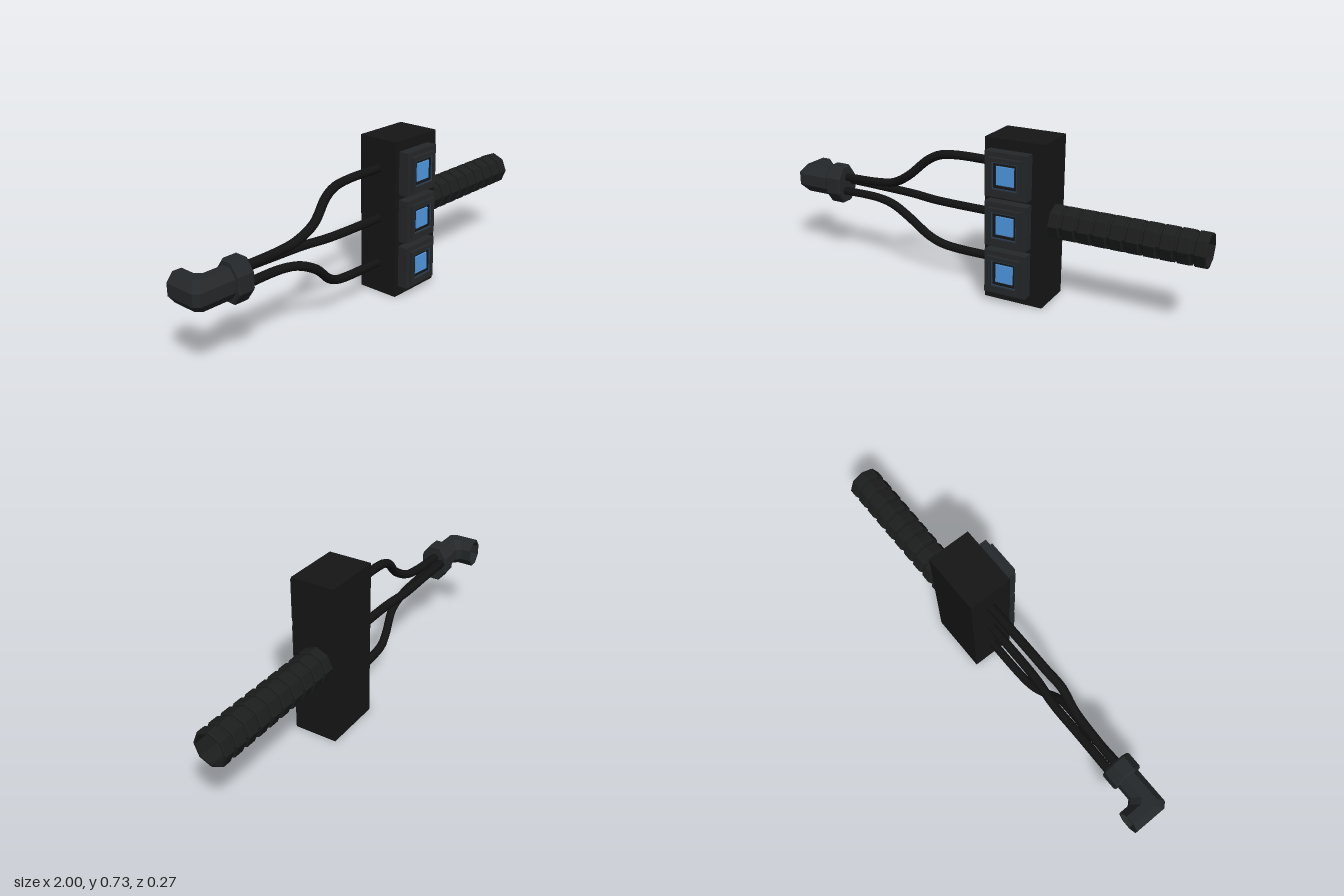
import * as THREE from 'three';

const mat = (color, side = THREE.FrontSide, flatShading = true) =>
  new THREE.MeshStandardMaterial({ color, side, flatShading });

const MID_Y = 0.363;

function add(parent, name, geometry, material, x = 0, y = 0, z = 0) {
  const mesh = new THREE.Mesh(geometry, material);
  mesh.name = name;
  mesh.position.set(x, y, z);
  parent.add(mesh);
  return mesh;
}

// Square frame standing from z = 0 to z = depth
function frameGeometry(outer, inner, depth) {
  const square = (Type, s) => new Type([
    new THREE.Vector2(-s / 2, -s / 2), new THREE.Vector2(s / 2, -s / 2),
    new THREE.Vector2(s / 2, s / 2), new THREE.Vector2(-s / 2, s / 2)]);
  const shape = square(THREE.Shape, outer);
  shape.holes.push(square(THREE.Path, inner));
  return new THREE.ExtrudeGeometry(shape, { depth, bevelEnabled: false });
}

// Skin over eight-sided rings; each ring is [x, z, lateralX, lateralZ, halfHeight]
function loftGeometry(rings, sides = 8) {
  const pos = [], index = [];
  rings.forEach(([x, z, lx, lz, h], r) => {
    for (let i = 0; i < sides; i++) {
      const a = ((i + 0.5) / sides) * Math.PI * 2;
      const k = 1 / Math.cos(Math.PI / sides);
      pos.push(x + lx * Math.cos(a) * k, MID_Y + h * Math.sin(a) * k, z + lz * Math.cos(a) * k);
      if (r === rings.length - 1) continue;
      const p = r * sides + i, q = r * sides + (i + 1) % sides;
      index.push(p, p + sides, q, q, p + sides, q + sides);
    }
  });
  const g = new THREE.BufferGeometry();
  g.setAttribute('position', new THREE.Float32BufferAttribute(pos, 3));
  g.setIndex(index);
  g.computeVertexNormals();
  return g;
}

export function createModel() {
  const model = new THREE.Group();
  model.name = 'switchBoxWithHoses';

  const black = mat(0x161616);
  const charcoal = mat(0x25282a);
  const charcoalOpen = mat(0x25282a, THREE.DoubleSide);
  const blue = mat(0x4f9ae6);
  const dimBlue = mat(0x2b4054);
  const rubber = mat(0x1c1d1d, THREE.DoubleSide);
  const cableMat = mat(0x131313, THREE.FrontSide, false);

  // Main housing
  add(model, 'housing', new THREE.BoxGeometry(0.275, 0.725, 0.2), black, 0.1985, 0.3625, -0.03);

  // Three stacked light buttons on the front
  for (let i = 0; i < 3; i++) {
    const button = new THREE.Group();
    button.name = 'button' + (i + 1);
    button.position.set(0.181, 0.145 + i * 0.2185, 0.07);
    add(button, 'buttonBase', new THREE.BoxGeometry(0.195, 0.195, 0.047), charcoal, 0, 0, 0.0235);
    add(button, 'buttonRim', frameGeometry(0.152, 0.118, 0.016), charcoal, 0, 0, 0.047);
    add(button, 'buttonInset', frameGeometry(0.118, 0.108, 0.011), dimBlue, 0, 0, 0.047);
    add(button, 'buttonBezel', frameGeometry(0.108, 0.09, 0.007), black, 0, 0, 0.047);
    add(button, 'buttonLens', new THREE.BoxGeometry(0.08, 0.08, 0.008), blue, 0, 0, 0.05);
    model.add(button);
  }

  // Ribbed eight-sided hose, open at its far end
  const profile = [];
  const pitch = 0.0695, rib = 0.055;
  for (let i = 0; i < 10; i++) {
    const x0 = 0.326 + i * pitch;
    const x1 = Math.min(x0 + rib, 1);
    profile.push([0.067, x0], [0.073, x0], [0.078, x0 + 0.005], [0.078, x1 - 0.005], [0.073, x1], [0.067, x1]);
  }
  profile.push([0.067, 1], [0.064, 0.33]);
  const hose = add(model, 'ribbedHose',
    new THREE.LatheGeometry(profile.map(([r, x]) => new THREE.Vector2(r, x)), 8),
    rubber, 0, MID_Y, -0.044);
  hose.rotation.z = -Math.PI / 2;

  // Three cables fanning out from the collar to the housing
  const cables = {
    upperCable: [[-0.76, 0.395, -0.02], [-0.55, 0.402, -0.015], [-0.46, 0.417, -0.01], [-0.37, 0.468, 0],
      [-0.28, 0.548, -0.02], [-0.22, 0.578, -0.027], [-0.14, 0.589, -0.03], [0.08, 0.589, -0.032]],
    middleCable: [[-0.76, 0.372, -0.055], [-0.55, 0.368, -0.052], [-0.38, 0.363, -0.05],
      [-0.25, 0.359, -0.035], [0.08, 0.356, -0.032]],
    lowerCable: [[-0.76, 0.333, 0], [-0.55, 0.329, -0.004], [-0.46, 0.313, 0.002], [-0.37, 0.268, 0.008],
      [-0.28, 0.19, -0.012], [-0.22, 0.158, -0.025], [-0.14, 0.146, -0.03], [0.08, 0.144, -0.032]],
  };
  for (const [name, pts] of Object.entries(cables)) {
    const curve = new THREE.CatmullRomCurve3(pts.map((p) => new THREE.Vector3(...p)));
    add(model, name, new THREE.TubeGeometry(curve, 40, 0.02, 8), cableMat);
  }

  // Flattened collar gripping the cables, with a slight bevel at each end
  const collarRings = [
    [-0.735, -0.015, 0, 0.001, 0.001], [-0.735, -0.015, 0, 0.06, 0.082],
    [-0.743, -0.015, 0, 0.065, 0.089], [-0.807, -0.015, 0, 0.065, 0.089],
    [-0.815, -0.015, 0, 0.06, 0.082], [-0.815, -0.015, 0, 0.001, 0.001]];
  add(model, 'collar', loftGeometry(collarRings), charcoalOpen);

  // Elbow fitting turning to the back, with a hollow mouth
  const elbowRings = [
    [-0.8, -0.015, 0, 0.05, 0.064], [-0.93, -0.015, -0.05, 0.05, 0.064],
    [-0.95, -0.037, -0.05, 0.05, 0.064], [-0.95, -0.133, -0.05, 0, 0.064],
    [-0.95, -0.133, -0.042, 0, 0.054], [-0.95, -0.06, -0.038, 0, 0.05],
    [-0.95, -0.06, -0.001, 0, 0.001]];
  add(model, 'elbowFitting', loftGeometry(elbowRings), charcoalOpen);

  return model;
}
